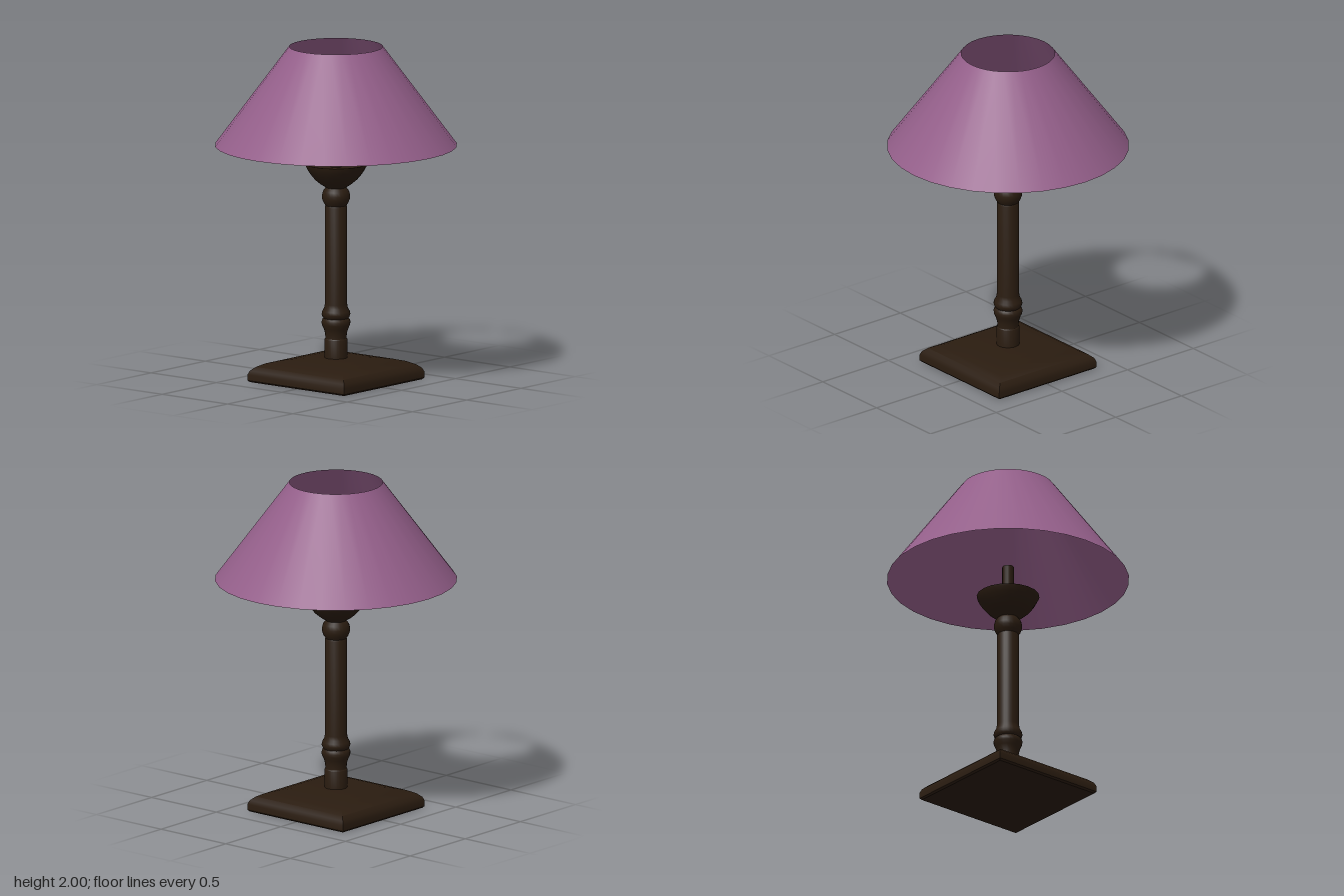
import * as THREE from 'three';
import { toCreasedNormals } from 'three/addons/utils/BufferGeometryUtils.js';

const wood = new THREE.MeshStandardMaterial({ color: 0x2a1c10 });
const fabric = new THREE.MeshStandardMaterial({ color: 0x945f8a, side: THREE.DoubleSide });

// Profile of [radius, height] pairs, listed so that the outside rises, turned about y
function turned(name, profile, segments, material, crease = 0.7) {
  const points = profile.map(([r, y]) => new THREE.Vector2(r, y));
  const geometry = toCreasedNormals(new THREE.LatheGeometry(points, segments), crease);
  const mesh = new THREE.Mesh(geometry, material);
  mesh.name = name;
  return mesh;
}

export function createModel() {
  const lamp = new THREE.Group();
  lamp.name = 'tableLamp';

  // Square domed foot: four-sided turning, half widths scaled to the corners
  const footProfile = [
    [0, 0], [0.36, 0], [0.37, 0.01], [0.37, 0.045], [0.36, 0.068], [0.335, 0.09],
    [0.295, 0.11], [0.24, 0.125], [0.18, 0.134], [0.11, 0.139], [0, 0.14],
  ].map(([halfWidth, y]) => [halfWidth * Math.SQRT2, y]);
  const foot = turned('foot', footProfile, 4, wood);
  foot.rotation.y = Math.PI / 4;
  lamp.add(foot);

  // Column with a double ring near the foot and a ball under the dish
  lamp.add(turned('column', [
    [0.067, 0.13], [0.067, 0.25], [0.063, 0.255], [0.064, 0.285], [0.073, 0.315],
    [0.084, 0.338], [0.085, 0.355], [0.08, 0.37], [0.073, 0.376], [0.08, 0.385],
    [0.085, 0.4], [0.081, 0.418], [0.07, 0.437], [0.066, 0.46],
    [0.066, 1.04], [0.062, 1.05], [0.074, 1.068], [0.082, 1.09], [0.083, 1.11],
    [0.077, 1.135], [0.064, 1.153], [0.05, 1.165],
  ], 24, wood));

  // Dish with a raised rim
  lamp.add(turned('dish', [
    [0.05, 1.15], [0.066, 1.162], [0.095, 1.18], [0.125, 1.205], [0.15, 1.235],
    [0.168, 1.262], [0.182, 1.288], [0.185, 1.3], [0.18, 1.3], [0.174, 1.282], [0, 1.28],
  ], 20, wood));

  // Lamp holder rod
  const rod = new THREE.Mesh(new THREE.CylinderGeometry(0.034, 0.034, 0.22, 16), wood);
  rod.name = 'holderRod';
  rod.position.y = 1.38;
  lamp.add(rod);

  // Open conical shade
  lamp.add(turned('shade', [[0.714, 1.41], [0.276, 2]], 32, fabric));

  return lamp;
}
